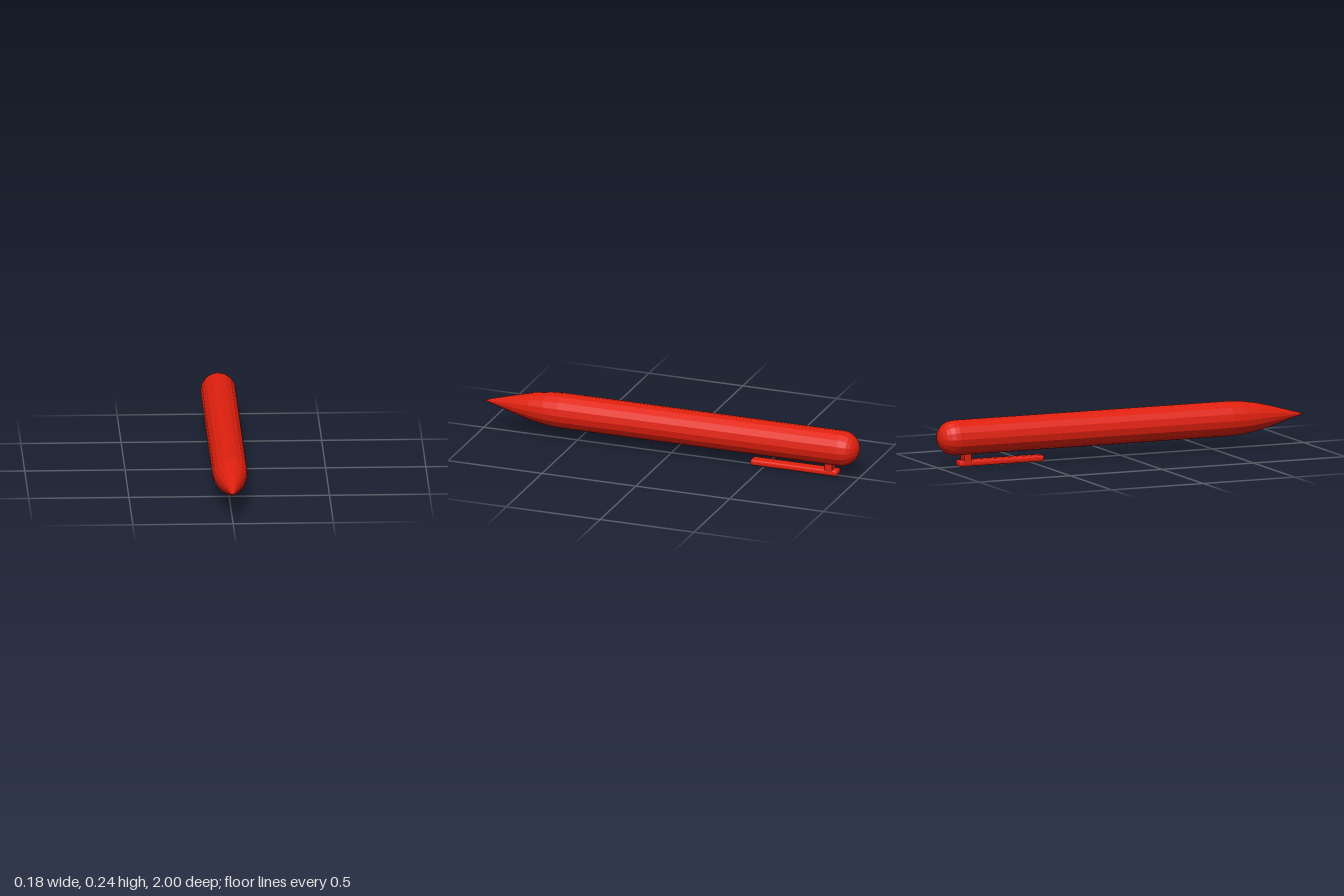
import * as THREE from 'three';
import { RoundedBoxGeometry } from 'three/addons/geometries/RoundedBoxGeometry.js';

const RADIUS = 0.089;
const AXIS_Y = 0.147;

export function createModel() {
  const group = new THREE.Group();
  group.name = 'pen';
  const material = new THREE.MeshStandardMaterial({ color: 0xe0200e, flatShading: true });

  const add = (name, geometry, x, y, z) => {
    const mesh = new THREE.Mesh(geometry, material);
    mesh.name = name;
    mesh.position.set(x, y, z);
    group.add(mesh);
    return mesh;
  };

  // Barrel: domed back end, straight shaft, tapered point
  const profile = [];
  for (let i = 0; i <= 6; i++) {
    const a = (i / 6) * Math.PI / 2;
    profile.push(new THREE.Vector2(RADIUS * Math.sin(a), -1 + RADIUS * (1 - Math.cos(a))));
  }
  for (const [r, z] of [[RADIUS, 0.58], [0.084, 0.66], [0.071, 0.74], [0.051, 0.82], [0, 1]]) {
    profile.push(new THREE.Vector2(r, z));
  }
  add('barrel', new THREE.LatheGeometry(profile, 16), 0, AXIS_Y, 0).rotation.x = Math.PI / 2;

  // Pocket clip: rounded bar hanging parallel to the barrel
  add('clip', new RoundedBoxGeometry(0.06, 0.032, 0.464, 2, 0.012), 0, 0.016, -0.66);

  // Post joining the clip to the barrel
  add('clipPost', new RoundedBoxGeometry(0.06, 0.07, 0.04, 2, 0.008), 0, 0.055, -0.845);

  return group;
}
